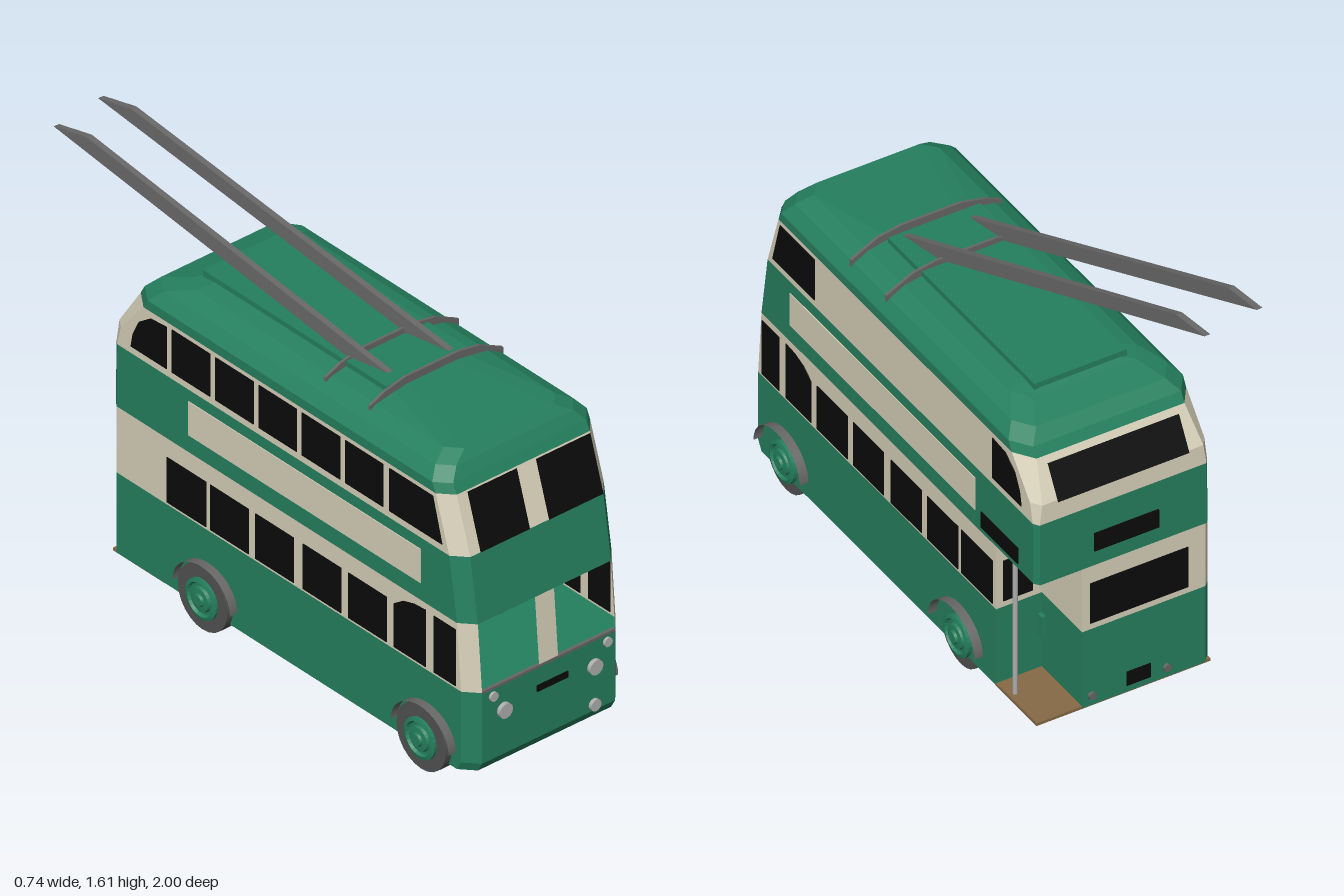
import * as THREE from 'three';

const paint = (name, color, side = THREE.DoubleSide) => {
  const m = new THREE.MeshStandardMaterial({ color, side });
  m.name = name;
  return m;
};

export function createModel() {
  const green = paint('green', 0x25805f), cream = paint('cream', 0xd8d1ba);
  const black = paint('black', 0x0b0b0b), metal = paint('metal grey', 0x686767);
  const rubber = paint('tyre grey', 0x525252), lampGrey = paint('lamp grey', 0xb0b0b0);
  const brown = paint('platform brown', 0x866a46);
  const bus = new THREE.Group();
  bus.name = 'doubleDeckTrolleybus';
  const L = -0.315, R = 0.335, MID = 0.01;

  const add = (name, geo, mat, x = 0, y = 0, z = 0) => {
    const m = new THREE.Mesh(geo, mat);
    m.name = name;
    m.position.set(x, y, z);
    bus.add(m);
    return m;
  };
  const box = (name, mat, x0, x1, y0, y1, z0, z1) => add(name,
    new THREE.BoxGeometry(x1 - x0, y1 - y0, z1 - z0), mat, (x0 + x1) / 2, (y0 + y1) / 2, (z0 + z1) / 2);
  const faceted = (points) => {
    const g = new THREE.BufferGeometry().setFromPoints(points);
    g.computeVertexNormals();
    return g;
  };
  const quad = (name, mat, a, b, c, d) =>
    add(name, faceted([a, b, c, a, c, d].map((p) => new THREE.Vector3(...p))), mat);

  // Plan outlines: lower deck with the rear platform notch, and upper deck
  const lower = (y, zf) => [
    [R - 0.045, zf], [R, zf - 0.05], [R, -0.51], [0.165, -0.51], [0.165, -0.755],
    [L + 0.02, -0.755], [L, -0.735], [L, zf - 0.05], [L + 0.045, zf],
  ].map(([x, z]) => new THREE.Vector3(x, y, z));
  const upper = (y, zf, zr, hw = 0.325, cr = 0.02) => [
    [hw - 0.045, zf], [hw, zf - 0.05], [hw, zr + cr], [hw - cr * 0.7, zr],
    [cr * 0.7 - hw, zr], [-hw, zr + cr], [-hw, zf - 0.05], [0.045 - hw, zf],
  ].map(([x, z]) => new THREE.Vector3(MID + x, y, z));

  // Walls between successive outlines; openFront leaves the last segment out
  const walls = (name, mat, rings, openFront = false) => {
    const pts = [];
    for (let k = 0; k + 1 < rings.length; k++) {
      const a = rings[k], b = rings[k + 1], n = a.length;
      for (let i = 0; i < n - (openFront ? 1 : 0); i++) {
        const j = (i + 1) % n;
        pts.push(a[i], a[j], b[j], a[i], b[j], b[i]);
      }
    }
    add(name, faceted(pts), mat);
  };
  const cap = (name, mat, ring, up) => {
    const flat = ring.map((p) => new THREE.Vector2(p.x, -p.z));
    const pts = THREE.ShapeUtils.triangulateShape(flat, []).flatMap((t) => t.map((i) => ring[i]));
    const g = faceted(pts);
    if (g.attributes.normal.getY(0) > 0 !== up) pts.reverse();
    add(name, faceted(pts), mat);
  };

  // Body bands
  const floorRing = lower(0.06, 0.965), sill = lower(0.365, 0.985), head = lower(0.617, 0.965);
  const deck = upper(0.617, 0.965, -0.755), waist = upper(0.855, 0.928, -0.752);
  const eaves = upper(1.06, 0.862, -0.675, 0.325, 0.07);
  walls('lowerPanels', green, [floorRing, lower(0.095, 0.985), sill]);
  cap('underside', green, floorRing, false);
  cap('cabFloor', green, sill, true);
  walls('lowerWindowBand', cream, [sill, head], true);
  cap('upperDeckFloor', green, deck, false);
  walls('middlePanels', green, [deck, waist]);
  walls('upperWindowBand', cream, [waist, upper(0.93, 0.904, -0.75, 0.325, 0.035), eaves]);
  const roofTop = upper(1.183, 0.4, -0.47, 0.14, 0.05);
  walls('roof', green, [eaves, upper(1.095, 0.845, -0.655, 0.325, 0.07),
    upper(1.135, 0.82, -0.615, 0.29, 0.07), upper(1.165, 0.795, -0.51, 0.235, 0.06), roofTop]);
  cap('roofCrown', green, roofTop, true);
  box('roofPanel', green, -0.165, 0.18, 1.15, 1.195, -0.49, 0.4);

  // Open cab: bulkhead with window, centre pillar
  box('cabBulkhead', cream, L + 0.005, R - 0.005, 0.365, 0.617, 0.54, 0.55);
  box('bulkheadWindow', black, -0.23, 0.085, 0.39, 0.54, 0.55, 0.555);
  quad('windscreenPillar', cream, [-0.03, 0.365, 0.985], [0.05, 0.365, 0.985], [0.05, 0.617, 0.965], [-0.03, 0.617, 0.965]);
  box('windscreenSill', metal, -0.27, 0.29, 0.36, 0.37, 0.975, 0.987);

  // Front upper windows, on the sloping face
  for (const [x0, x1] of [[-0.23, -0.022], [0.058, 0.287]]) {
    quad('frontUpperWindow', black, [x0, 0.857, 0.932], [x1, 0.857, 0.932], [x1, 1.057, 0.868], [x0, 1.057, 0.868]);
  }
  // Rear windows and blind
  quad('rearUpperWindow', black, [0.255, 0.925, -0.756], [-0.235, 0.925, -0.756], [-0.235, 1.04, -0.692], [0.255, 1.04, -0.692]);
  box('rearBlind', black, -0.12, 0.12, 0.675, 0.745, -0.76, -0.752);
  box('rearLowerWindow', black, -0.23, 0.135, 0.39, 0.55, -0.759, -0.752);
  box('rearNumberPlate', black, -0.09, 0.0, 0.085, 0.14, -0.759, -0.752);

  // Side plates from [z, y] outlines
  const sidePlate = (name, mat, side, pts) => {
    const g = new THREE.ExtrudeGeometry(new THREE.Shape(pts.map(([z, y]) => new THREE.Vector2(-z, y))),
      { depth: 0.006, bevelEnabled: false });
    g.rotateY(Math.PI / 2);
    add(name, g, mat, side > 0 ? R - 0.003 : L - 0.003);
  };
  const rect = (z0, z1, y0, y1) => [[z0, y0], [z1, y0], [z1, y1], [z0, y1]];
  const lowerBays = [[0.575, 0.39], [0.355, 0.17], [0.126, -0.06], [-0.094, -0.28], [-0.3, -0.49]];
  for (const side of [1, -1]) {
    sidePlate('cabSideWindow', black, side, rect(0.91, 0.805, 0.375, 0.59));
    sidePlate('cabDoorWindow', black, side,
      [[0.765, 0.375], [0.61, 0.375], [0.61, 0.54], [0.655, 0.572], [0.71, 0.588], [0.765, 0.592]]);
    for (const [a, b] of lowerBays) sidePlate('lowerSideWindow', black, side, rect(a, b, 0.375, 0.547));
    sidePlate('upperFrontSideWindow', black, side, [[0.845, 0.882], [0.59, 0.882], [0.59, 1.045], [0.8, 1.045]]);
    sidePlate('upperRearSideWindow', black, side,
      [[-0.49, 0.882], [-0.665, 0.882], [-0.655, 0.935], [-0.625, 0.995], [-0.57, 1.035], [-0.49, 1.042]]);
    sidePlate('advertPanel', cream, side, rect(0.74, -0.385, 0.683, 0.812));
  }
  for (let i = 0; i < 5; i++) {
    sidePlate('upperSideWindow', black, -1, rect(0.56 - i * 0.21, 0.375 - i * 0.21, 0.882, 1.045));
  }
  sidePlate('sideBlind', black, 1, rect(-0.42, -0.645, 0.637, 0.7));

  // Rear platform
  box('platform', brown, L + 0.002, R, 0.057, 0.068, -0.755, -0.505);
  box('platformWindow', black, 0.2, 0.31, 0.39, 0.55, -0.515, -0.508);
  box('platformStepBox', green, 0.165, 0.18, 0.2, 0.285, -0.535, -0.51);
  add('grabPole', new THREE.CylinderGeometry(0.009, 0.009, 0.56, 8), lampGrey, 0.31, 0.338, -0.585);

  // Lamps
  const lamp = (name, mat, x, y, z, r, depth) => {
    const g = new THREE.CylinderGeometry(r, r, depth, 12);
    g.rotateX(Math.PI / 2);
    add(name, g, mat, x, y, z);
  };
  for (const x of [-0.18, 0.2]) lamp('headlamp', lampGrey, x, 0.265, 0.99, 0.028, 0.02);
  for (const x of [-0.225, 0.255]) lamp('sideLamp', lampGrey, x, 0.335, 0.988, 0.017, 0.014);
  lamp('fogLamp', lampGrey, 0.2, 0.12, 0.988, 0.022, 0.02);
  for (const x of [0.13, -0.15]) lamp('tailLamp', metal, x, 0.1, -0.758, 0.014, 0.016);
  box('frontNumberPlate', black, -0.04, 0.09, 0.272, 0.295, 0.982, 0.99);

  // Wheels: tyre, stepped hub and thin arch
  const hubProfile = [[0.075, 0], [0.075, 0.018], [0.062, 0.022], [0.056, 0.012], [0.046, 0.012],
    [0.042, 0.022], [0.024, 0.024], [0.02, 0.032], [0, 0.032]].map(([r, h]) => new THREE.Vector2(r, h));
  for (const z of [0.77, -0.29]) {
    for (const side of [1, -1]) {
      const tyre = new THREE.CylinderGeometry(0.12, 0.12, 0.07, 24);
      tyre.rotateZ(Math.PI / 2);
      add('tyre', tyre, rubber, side > 0 ? 0.297 : -0.305, 0.12, z);
      const hub = new THREE.LatheGeometry(hubProfile, 24).toNonIndexed();
      hub.computeVertexNormals();
      hub.rotateZ(-side * Math.PI / 2);
      add('hub', hub, green, side > 0 ? 0.333 : -0.331, 0.118, z);
      const arch = new THREE.CylinderGeometry(0.14, 0.14, 0.04, 20, 1, true, 0, Math.PI);
      arch.rotateZ(Math.PI / 2);
      arch.scale(1, 0.86, 1);
      add('wheelArch', arch, metal, side > 0 ? 0.348 : -0.326, 0.122, z);
    }
  }

  // Roof gantries: bent strips across the roof
  const top = [[-0.25, 1.168], [-0.19, 1.195], [-0.1, 1.215], [0.12, 1.215], [0.21, 1.2], [0.31, 1.15]];
  const strip = new THREE.Shape([...top, ...top.map(([x, y]) => [x, y - 0.028]).reverse()]
    .map(([x, y]) => new THREE.Vector2(x, y)));
  for (const z of [0.195, 0.41]) {
    add('poleGantry', new THREE.ExtrudeGeometry(strip, { depth: 0.01, bevelEnabled: false }), metal, 0, 0, z);
  }

  // Trolley poles: upright boxes sheared back and outwards
  for (const [x, z, endX, endZ] of [[-0.105, 0.35, -0.365, -0.97], [0.125, 0.38, -0.152, -1.0]]) {
    const g = new THREE.BoxGeometry(1, 1, 1), p = g.attributes.position;
    const slope = (endX - x) / (endZ - z);
    for (let i = 0; i < p.count; i++) {
      const up = p.getY(i) > 0, back = p.getZ(i) < 0;
      const pz = up ? endZ + (back ? 0 : 0.13) : z - (back ? 0.17 : 0);
      const y = up ? (back ? 1.593 : 1.606) : 1.2;
      p.setXYZ(i, x + (pz - z) * slope + p.getX(i) * 0.022, y, pz);
    }
    const flat = g.toNonIndexed();
    flat.computeVertexNormals();
    add('trolleyPole', flat, metal);
  }
  return bus;
}
